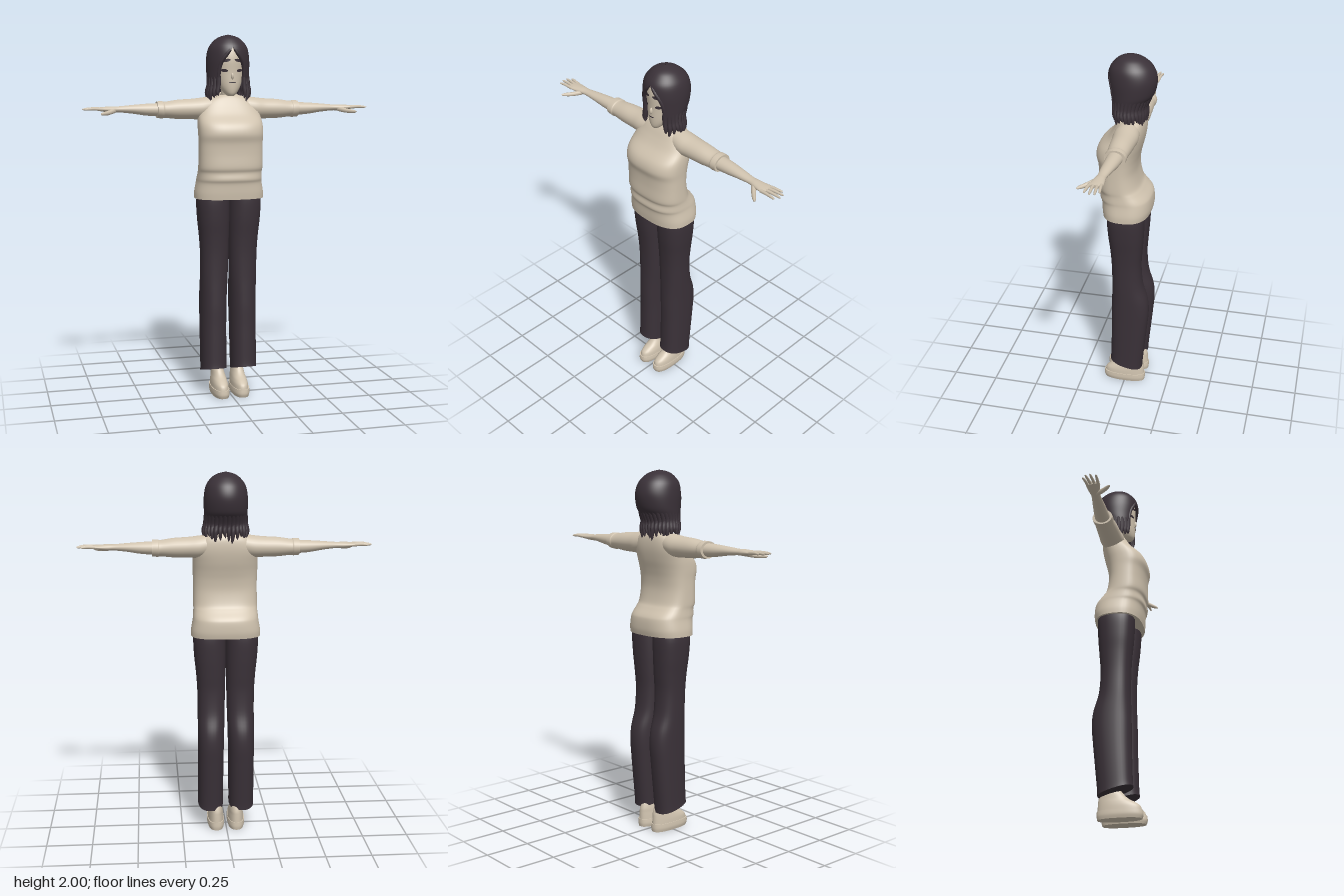
import * as THREE from 'three';

const cream = new THREE.MeshStandardMaterial({ color: 0xd0c3af });
cream.name = 'cream';
const charcoal = new THREE.MeshStandardMaterial({ color: 0x3a3138, side: THREE.DoubleSide });
charcoal.name = 'charcoal';

// Smooth a list of cross-sections [t, aMin, aMax, bMin, bMax]
function dense(rings, steps = 5) {
  const at = i => rings[Math.min(Math.max(i, 0), rings.length - 1)], out = [];
  for (let i = 0; i < rings.length - 1; i++) {
    for (let s = 0; s < steps; s++) {
      const u = s / steps, p = at(i - 1), q = at(i), r = at(i + 1), w = at(i + 2);
      out.push(q.map((_, c) => 0.5 * (2 * q[c] + (r[c] - p[c]) * u
        + (2 * p[c] - 5 * q[c] + 4 * r[c] - w[c]) * u * u
        + (3 * q[c] - p[c] - 3 * r[c] + w[c]) * u * u * u)));
    }
  }
  out.push(rings[rings.length - 1]);
  return out;
}

// Section symmetric about x = 0
const sym = (y, rx, zMin, zMax) => [y, -rx, rx, zMin, zMax];

function makeMesh(name, geo, mat) {
  const m = new THREE.Mesh(geo, mat);
  m.name = name;
  return m;
}

// Closed body through cross-sections along y or x
function loft(name, rings, mat, { axis = 'y', side = 1, n = 36, p = 2, move } = {}) {
  const rows = dense(rings), pos = [], idx = [];
  const flip = (axis === 'x') !== (side < 0);
  const tri = (a, b, c) => flip ? idx.push(a, c, b) : idx.push(a, b, c);
  const put = (t, a, b) => {
    const v = axis === 'y' ? new THREE.Vector3(a, t, b) : new THREE.Vector3(t, a, b);
    if (move) move(v);
    pos.push(v.x * side, v.y, v.z);
  };
  const ring = ([t, a0, a1, b0, b1]) => {
    for (let i = 0; i < n; i++) {
      const th = i / n * Math.PI * 2, c = Math.cos(th), s = Math.sin(th);
      put(t, (a0 + a1) / 2 + (a1 - a0) / 2 * Math.sign(c) * Math.abs(c) ** (2 / p),
        (b0 + b1) / 2 + (b1 - b0) / 2 * Math.sign(s) * Math.abs(s) ** (2 / p));
    }
  };
  rows.forEach(ring);
  for (let k = 0; k < rows.length - 1; k++) {
    for (let i = 0; i < n; i++) {
      const j = (i + 1) % n, a = k * n + i, c = k * n + j;
      tri(a, a + n, c);
      tri(c, a + n, c + n);
    }
  }
  for (const top of [false, true]) {
    const r = top ? rows[rows.length - 1] : rows[0], base = pos.length / 3;
    ring(r);
    put(r[0], (r[1] + r[2]) / 2, (r[3] + r[4]) / 2);
    for (let i = 0; i < n; i++) {
      const a = base + i, b = base + (i + 1) % n;
      top ? tri(base + n, b, a) : tri(base + n, a, b);
    }
  }
  const g = new THREE.BufferGeometry();
  g.setAttribute('position', new THREE.Float32BufferAttribute(pos, 3));
  g.setIndex(idx);
  g.computeVertexNormals();
  return makeMesh(name, g, mat);
}

// Tapered tube along a few points, radius r times width(u)
function strand(name, pts, r, width, mat) {
  const curve = new THREE.CatmullRomCurve3(pts.map(p => new THREE.Vector3(...p)));
  const T = 12, R = 8, g = new THREE.TubeGeometry(curve, T, r, R), pos = g.attributes.position;
  const v = new THREE.Vector3();
  for (let i = 0; i <= T; i++) {
    const c = curve.getPointAt(i / T), w = width(i / T);
    for (let j = 0; j <= R; j++) {
      const k = i * (R + 1) + j;
      v.fromBufferAttribute(pos, k).sub(c).multiplyScalar(w).add(c);
      pos.setXYZ(k, v.x, v.y, v.z);
    }
  }
  return makeMesh(name, g, mat);
}
const fingerTaper = u => (1 - 0.35 * u) * Math.sqrt(Math.max(0, 1 - u ** 8));
const lockTaper = u => Math.sqrt(Math.max(0, 1 - u ** 3)) * Math.min(1, 0.3 + 3 * u);

const lerpRow = (rows, y) => {
  const k = Math.max(1, rows.findIndex(r => r[0] >= y));
  const a = rows[k - 1], b = rows[k], u = (y - a[0]) / (b[0] - a[0]);
  return a.map((v, c) => v + (b[c] - v) * u);
};

function buildHead(root) {
  const faceRings = [sym(1.672, 0.016, 0.02, 0.066), sym(1.69, 0.036, -0.01, 0.077), sym(1.73, 0.06, -0.05, 0.082),
    sym(1.8, 0.077, -0.08, 0.082), sym(1.87, 0.084, -0.1, 0.084), sym(1.93, 0.078, -0.1, 0.068), sym(1.97, 0.04, -0.06, 0.03)];
  root.add(loft('face', faceRings, cream));
  root.add(loft('neck', [sym(1.6, 0.045, -0.07, 0.015), sym(1.66, 0.036, -0.065, 0.01), sym(1.74, 0.036, -0.06, 0.02)], cream));
  const nose = new THREE.SphereGeometry(1, 12, 8).scale(0.008, 0.018, 0.01);
  root.add(makeMesh('nose', nose.translate(0, 1.778, 0.082), cream));

  // Thin facial details laid on the face
  const faceRows = dense(faceRings);
  const decal = (name, x, y, w, h, tilt) => {
    const g = new THREE.CircleGeometry(1, 20).scale(w, h, 1).rotateZ(tilt).translate(x, y, 0), pos = g.attributes.position;
    for (let i = 0; i < pos.count; i++) {
      const [, , rx, b0, b1] = lerpRow(faceRows, pos.getY(i));
      const s = Math.sqrt(Math.max(0, 1 - (pos.getX(i) / rx) ** 2));
      pos.setZ(i, (b0 + b1) / 2 + (b1 - b0) / 2 * s + 0.003);
    }
    g.computeVertexNormals();
    root.add(makeMesh(name, g, charcoal));
  };
  for (const s of [-1, 1]) {
    decal('eyebrow', s * 0.032, 1.862, 0.021, 0.008, -s * 0.15);
    decal('eye', s * 0.042, 1.808, 0.018, 0.008, s * 0.1);
  }
  decal('mouth', 0, 1.745, 0.02, 0.003, 0);
}

function buildHair(root) {
  const hair = new THREE.Group();
  hair.name = 'hair';
  const rows = dense([sym(1.68, 0.11, -0.098, 0.07), sym(1.72, 0.113, -0.1, 0.08), sym(1.76, 0.114, -0.114, 0.088),
    sym(1.8, 0.117, -0.142, 0.094), sym(1.87, 0.117, -0.155, 0.1), sym(1.93, 0.105, -0.138, 0.092),
    sym(1.97, 0.075, -0.1, 0.062), sym(1.99, 0.042, -0.062, 0.03), sym(2, 0.002, -0.02, -0.016)]);
  // Half width of the face opening at each height
  const edge = [[1.64, 0.068], [1.7, 0.066], [1.76, 0.07], [1.82, 0.069], [1.86, 0.056], [1.9, 0.028], [1.93, 0], [2.1, 0]];
  const open = y => lerpRow(edge, y)[1];
  const point = (row, th, out = 0) => [(row[2] + out) * Math.sin(th), row[0],
    (row[3] + row[4]) / 2 + ((row[4] - row[3]) / 2 + out) * Math.cos(th)];

  // Shell with a parted opening at the front
  const N = 56, pos = [], idx = [];
  rows.forEach((row, k) => {
    const a = Math.asin(Math.min(1, open(row[0]) / row[2]));
    for (let j = 0; j <= N; j++) {
      const p = point(row, a + (Math.PI * 2 - 2 * a) * j / N);
      if (k === 0) p[1] += 0.012 * Math.sin(j * 2.3);
      pos.push(...p);
      if (k < rows.length - 1 && j < N) {
        const q = k * (N + 1) + j, u = q + N + 1;
        idx.push(q, q + 1, u, q + 1, u + 1, u);
      }
    }
  });
  const g = new THREE.BufferGeometry();
  g.setAttribute('position', new THREE.Float32BufferAttribute(pos, 3));
  g.setIndex(idx);
  g.computeVertexNormals();
  hair.add(makeMesh('hairShell', g, charcoal));

  // Hanging locks round the sides and back
  const count = 24;
  for (let i = 0; i < count; i++) {
    const th = 0.72 + (Math.PI * 2 - 1.44) * i / (count - 1), wob = Math.sin(i * 4.7), flare = Math.abs(Math.sin(th)) * 0.008;
    const end = point(rows[0], th + 0.06 * wob, flare - 0.004);
    end[1] = 1.65 + 0.016 * wob - 0.01 * Math.cos(th) * -1;
    hair.add(strand('lock', [point(lerpRow(rows, 1.8), th, -0.012), point(lerpRow(rows, 1.73), th, -0.006),
      point(lerpRow(rows, 1.69), th, flare), end], 0.014, lockTaper, charcoal));
  }
  // Fringe locks framing the face
  for (const s of [-1, 1]) {
    const along = (y, out) => {
      const row = lerpRow(rows, y);
      return point(row, s * Math.asin(Math.min(1, (open(y) + 0.006) / row[2])), out);
    };
    hair.add(strand('fringeLock', [1.96, 1.92, 1.88, 1.84, 1.78, 1.72, 1.67].map(y => along(Math.max(y, 1.681), -0.008)),
      0.012, lockTaper, charcoal));
  }
  root.add(hair);
}

function buildArm(root, s) {
  const arm = new THREE.Group();
  arm.name = s > 0 ? 'leftArm' : 'rightArm';
  const o = { axis: 'x', side: s, n: 28 };
  arm.add(loft('sleeve', [[0.07, 1.56, 1.672, -0.08, 0.035], [0.14, 1.545, 1.664, -0.088, 0.045], [0.2, 1.546, 1.657, -0.085, 0.04],
    [0.28, 1.548, 1.652, -0.08, 0.036], [0.35, 1.555, 1.642, -0.076, 0.03], [0.365, 1.552, 1.645, -0.079, 0.033],
    [0.395, 1.555, 1.644, -0.078, 0.032]], cream, o));
  arm.add(loft('forearm', [[0.37, 1.563, 1.635, -0.065, 0.02], [0.45, 1.568, 1.632, -0.057, 0.018], [0.53, 1.58, 1.626, -0.045, 0.016],
    [0.6, 1.587, 1.62, -0.034, 0.014], [0.64, 1.586, 1.62, -0.036, 0.022], [0.69, 1.593, 1.617, -0.04, 0.032],
    [0.715, 1.598, 1.614, -0.037, 0.03]], cream, o));
  // Fingers and thumb
  [[0.775, -0.042], [0.797, -0.022], [0.8, 0.004], [0.786, 0.033]].forEach(([tip, z], i) => {
    const z0 = -0.029 + i * 0.018;
    arm.add(strand('finger', [[s * 0.69, 1.605, z0], [s * 0.74, 1.608, (z + z0) / 2], [s * tip, 1.605, z]], 0.0095, fingerTaper, cream));
  });
  arm.add(strand('thumb', [[s * 0.63, 1.597, 0.005], [s * 0.665, 1.587, 0.045], [s * 0.71, 1.582, 0.09]], 0.014, fingerTaper, cream));
  root.add(arm);
}

function buildLeg(root, s) {
  const leg = new THREE.Group();
  leg.name = s > 0 ? 'leftLeg' : 'rightLeg';
  // Trouser leg with a hem that rises toward the front
  const slant = v => { v.y += v.z * 0.27 * THREE.MathUtils.clamp((0.4 - v.y) / 0.25, 0, 1); };
  leg.add(loft('trouserLeg', [[0.143, 0.016, 0.158, -0.105, 0.08], [0.18, 0.016, 0.157, -0.107, 0.077], [0.3, 0.015, 0.157, -0.12, 0.074],
    [0.4, 0.014, 0.157, -0.131, 0.072], [0.5, 0.012, 0.157, -0.139, 0.072], [0.58, 0.01, 0.157, -0.132, 0.07],
    [0.68, 0.007, 0.157, -0.103, 0.068], [0.8, 0.004, 0.158, -0.094, 0.07], [0.9, 0.002, 0.164, -0.1, 0.077],
    [1, 0, 0.174, -0.107, 0.088], [1.1, 0, 0.178, -0.11, 0.094], [1.17, 0, 0.165, -0.1, 0.09]],
  charcoal, { side: s, p: 2.4, move: slant }));
  leg.add(loft('shoeSole', [[0, 0.013, 0.101, -0.113, 0.12], [0.02, 0.008, 0.106, -0.116, 0.127], [0.045, 0.01, 0.105, -0.115, 0.125]],
    cream, { side: s, p: 2.5 }));
  leg.add(loft('shoeUpper', [[0.035, 0.012, 0.102, -0.112, 0.121], [0.065, 0.014, 0.1, -0.111, 0.114], [0.085, 0.017, 0.097, -0.11, 0.09],
    [0.105, 0.02, 0.093, -0.108, 0.055], [0.13, 0.025, 0.09, -0.1, 0.028], [0.16, 0.03, 0.086, -0.085, 0.012],
    [0.25, 0.032, 0.084, -0.075, 0.005]], cream, { side: s, p: 2.3 }));
  root.add(leg);
}

export function createModel() {
  const root = new THREE.Group();
  root.name = 'standingFigure';
  // Loose jumper with folds above the hem
  root.add(loft('jumper', [sym(1.115, 0.19, -0.134, 0.124), sym(1.15, 0.189, -0.14, 0.128), sym(1.2, 0.18, -0.138, 0.132),
    sym(1.225, 0.178, -0.128, 0.141), sym(1.26, 0.175, -0.096, 0.137), sym(1.29, 0.176, -0.075, 0.146), sym(1.36, 0.175, -0.06, 0.144),
    sym(1.42, 0.175, -0.062, 0.147), sym(1.47, 0.177, -0.072, 0.158), sym(1.52, 0.177, -0.085, 0.142), sym(1.57, 0.172, -0.094, 0.092),
    sym(1.61, 0.16, -0.096, 0.063), sym(1.645, 0.132, -0.092, 0.043), sym(1.665, 0.095, -0.082, 0.03), sym(1.677, 0.055, -0.07, 0.018)],
  cream, { n: 48, p: 2.6 }));
  const collar = new THREE.TorusGeometry(0.052, 0.006, 8, 32).rotateX(Math.PI / 2 + 0.25);
  root.add(makeMesh('collar', collar.translate(0, 1.674, -0.026), cream));
  buildHead(root);
  buildHair(root);
  for (const s of [-1, 1]) {
    buildArm(root, s);
    buildLeg(root, s);
  }
  return root;
}
